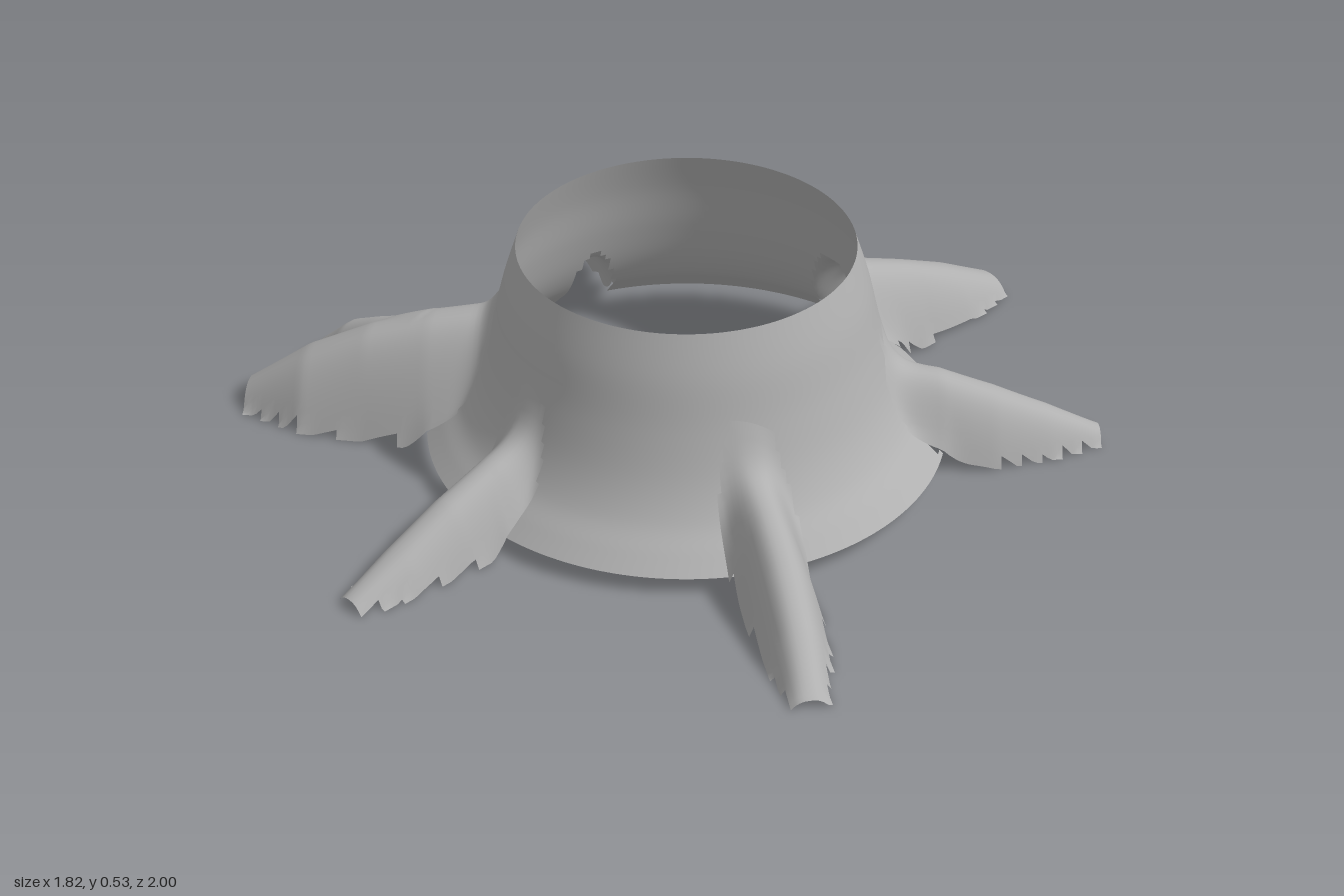
import * as THREE from 'three';

const CENTRE_Z = 0.016;
const BLEND = 0.12;

// Trunk profile (radius, height), from the cut top down to the flared foot
const profile = new THREE.SplineCurve([
  [0.387, 0.53], [0.42, 0.428], [0.449, 0.31], [0.484, 0.203], [0.526, 0.126], [0.574, 0.076], [0.61, 0.04],
].map(([r, y]) => new THREE.Vector2(r, y))).getPoints(36);

// Each root is a group of ridges: axis ends in (x, z), heights and half widths along the axis, sideways bend
const ROOTS = {
  backRoot: [
    { from: [0.035, -0.40], to: [0.07, -1.0], h: [0.295, 0.255, 0.19, 0.12, 0.04], w: [0.13, 0.125, 0.105, 0.10, 0.065], bend: 0.01 },
    { from: [0.01, -0.45], to: [-0.065, -0.91], h: [0.24, 0.20, 0.15, 0.10, 0.045], w: [0.10, 0.10, 0.09, 0.085, 0.065], bend: 0 },
  ],
  backLeftRoot: [
    { from: [0.35, -0.28], to: [0.69, -0.67], h: [0.235, 0.21, 0.16, 0.10, 0.03], w: [0.11, 0.11, 0.10, 0.075, 0.04], bend: -0.02 },
  ],
  frontLeftRoot: [
    { from: [0.40, 0.22], to: [0.885, 0.53], h: [0.225, 0.19, 0.15, 0.095, 0.02], w: [0.09, 0.09, 0.085, 0.07, 0.042], bend: 0.015 },
  ],
  frontRoot: [
    { from: [-0.035, 0.45], to: [-0.04, 1.0], h: [0.225, 0.19, 0.145, 0.085, 0.025], w: [0.085, 0.09, 0.085, 0.072, 0.04], bend: 0 },
  ],
  frontRightRoot: [
    { from: [-0.36, 0.28], to: [-0.852, 0.653], h: [0.315, 0.285, 0.235, 0.16, 0.05], w: [0.15, 0.15, 0.135, 0.125, 0.065], bend: 0.015 },
    { from: [-0.50, 0.38], to: [-0.86, 0.41], h: [0.25, 0.225, 0.185, 0.14, 0.06], w: [0.12, 0.11, 0.10, 0.095, 0.10], bend: 0 },
  ],
  backRightRoot: [
    { from: [-0.44, -0.11], to: [-0.89, -0.35], h: [0.22, 0.185, 0.14, 0.085, 0.025], w: [0.09, 0.09, 0.08, 0.062, 0.042], bend: 0 },
  ],
};

// Value of an evenly spaced list at t, linearly interpolated
function sample(list, t) {
  const s = THREE.MathUtils.clamp(t, 0, 1) * (list.length - 1);
  const i = Math.min(Math.floor(s), list.length - 2);
  return THREE.MathUtils.lerp(list[i], list[i + 1], s - i);
}

function smoothMax(a, b, k) {
  const m = Math.max(k - Math.abs(a - b), 0) / k;
  return Math.max(a, b) + m * m * k / 4;
}

// Trunk height above a ground point, extended steeply beyond both rims
function trunkHeight(x, z) {
  const r = Math.hypot(x, z - CENTRE_Z);
  const first = profile[0], last = profile[profile.length - 1];
  if (r <= first.x) return first.y + (first.x - r) * 4;
  if (r >= last.x) return last.y - (r - last.x) * 2;
  const i = profile.findIndex((p) => p.x > r);
  const a = profile[i - 1], b = profile[i];
  return THREE.MathUtils.lerp(a.y, b.y, (r - a.x) / (b.x - a.x));
}

// Axis frame of a ridge
function frame({ from, to }) {
  const dx = to[0] - from[0], dz = to[1] - from[1];
  const length = Math.hypot(dx, dz);
  return { length, d: [dx / length, dz / length], p: [dz / length, -dx / length] };
}

// Arched height of one ridge above a ground point
function ridgeHeight(ridge, x, z) {
  const { length, d, p } = frame(ridge);
  const ox = x - ridge.from[0], oz = z - ridge.from[1];
  const along = ox * d[0] + oz * d[1];
  const t = along / length;
  const tc = THREE.MathUtils.clamp(t, 0, 1);
  const side = ox * p[0] + oz * p[1] - ridge.bend * 4 * tc * (1 - tc);
  const overrun = Math.max(-along, along - length, 0);
  const arch = 1 - Math.abs(side / sample(ridge.w, t)) ** 2.5;
  return sample(ridge.h, t) * arch - overrun * 4;
}

const rootHeight = (ridges, x, z) =>
  ridges.map((ridge) => ridgeHeight(ridge, x, z)).reduce((a, b) => smoothMax(a, b, 0.05));

// Open surface on an n by m grid, made of the cells that pass the keep test
function gridSurface(n, m, point, keep, wrap = false) {
  const positions = [], index = [];
  const columns = wrap ? n : n + 1;
  for (let i = 0; i < columns; i++) {
    for (let j = 0; j <= m; j++) positions.push(...point(i, j));
  }
  for (let i = 0; i < n; i++) {
    for (let j = 0; j < m; j++) {
      if (!keep(i, j)) continue;
      const a = i * (m + 1) + j, b = ((i + 1) % columns) * (m + 1) + j;
      index.push(a, b, b + 1, a, b + 1, a + 1);
    }
  }
  const geometry = new THREE.BufferGeometry();
  geometry.setAttribute('position', new THREE.Float32BufferAttribute(positions, 3));
  geometry.setIndex(index);
  geometry.computeVertexNormals();
  return geometry;
}

// Hollow flared trunk, with an opening wherever a root joins it
function trunkGeometry() {
  const n = 200, m = profile.length - 1;
  const point = (i, j) => {
    const angle = (i / n) * Math.PI * 2, { x: r, y } = profile[j];
    return [r * Math.cos(angle), y, CENTRE_Z + r * Math.sin(angle)];
  };
  const covered = (i, j) => {
    const [x, y, z] = point(i, j);
    return Object.values(ROOTS).some((ridges) => rootHeight(ridges, x, z) > Math.max(y - 0.04, 0.02));
  };
  const keep = (i, j) => !(covered(i, j) && covered(i + 1, j) && covered(i, j + 1) && covered(i + 1, j + 1));
  return gridSurface(n, m, point, keep, true);
}

// Hollow root shell that blends into the trunk and ends in a stepped, ragged edge
function rootGeometry(ridges) {
  const { length, d, p } = frame(ridges[0]);
  const [fx, fz] = ridges[0].from;
  const start = -0.08, halfWidth = 0.36, m = 72;
  const rows = 4, n = rows * Math.round((length - start) / 0.05);
  const ground = (i, j) => {
    const u = start + (length - start) * i / n, v = halfWidth * (2 * j / m - 1);
    return [fx + d[0] * u + p[0] * v, fz + d[1] * u + p[1] * v];
  };
  const point = (i, j) => {
    const [x, z] = ground(i, j);
    const y = smoothMax(rootHeight(ridges, x, z), trunkHeight(x, z), BLEND);
    return [x, THREE.MathUtils.clamp(y, 0, 0.53), z];
  };
  const keep = (i, j) => {
    // Several rows share one outline test, which makes the steps
    const [sx, sz] = ground((Math.floor(i / rows) + 0.5) * rows, j + 0.5);
    const [x, z] = ground(i + 0.5, j + 0.5);
    return rootHeight(ridges, sx, sz) > 0.003
      && rootHeight(ridges, x, z) > trunkHeight(x, z) - BLEND;
  };
  return gridSurface(n, m, point, keep);
}

export function createModel() {
  const bark = new THREE.MeshStandardMaterial({ color: 0xb0b0b0, side: THREE.DoubleSide });
  bark.name = 'greyBark';
  const group = new THREE.Group();
  group.name = 'treeStump';

  const add = (name, geometry) => {
    const mesh = new THREE.Mesh(geometry, bark);
    mesh.name = name;
    group.add(mesh);
  };
  add('trunk', trunkGeometry());
  for (const [name, ridges] of Object.entries(ROOTS)) add(name, rootGeometry(ridges));
  return group;
}
